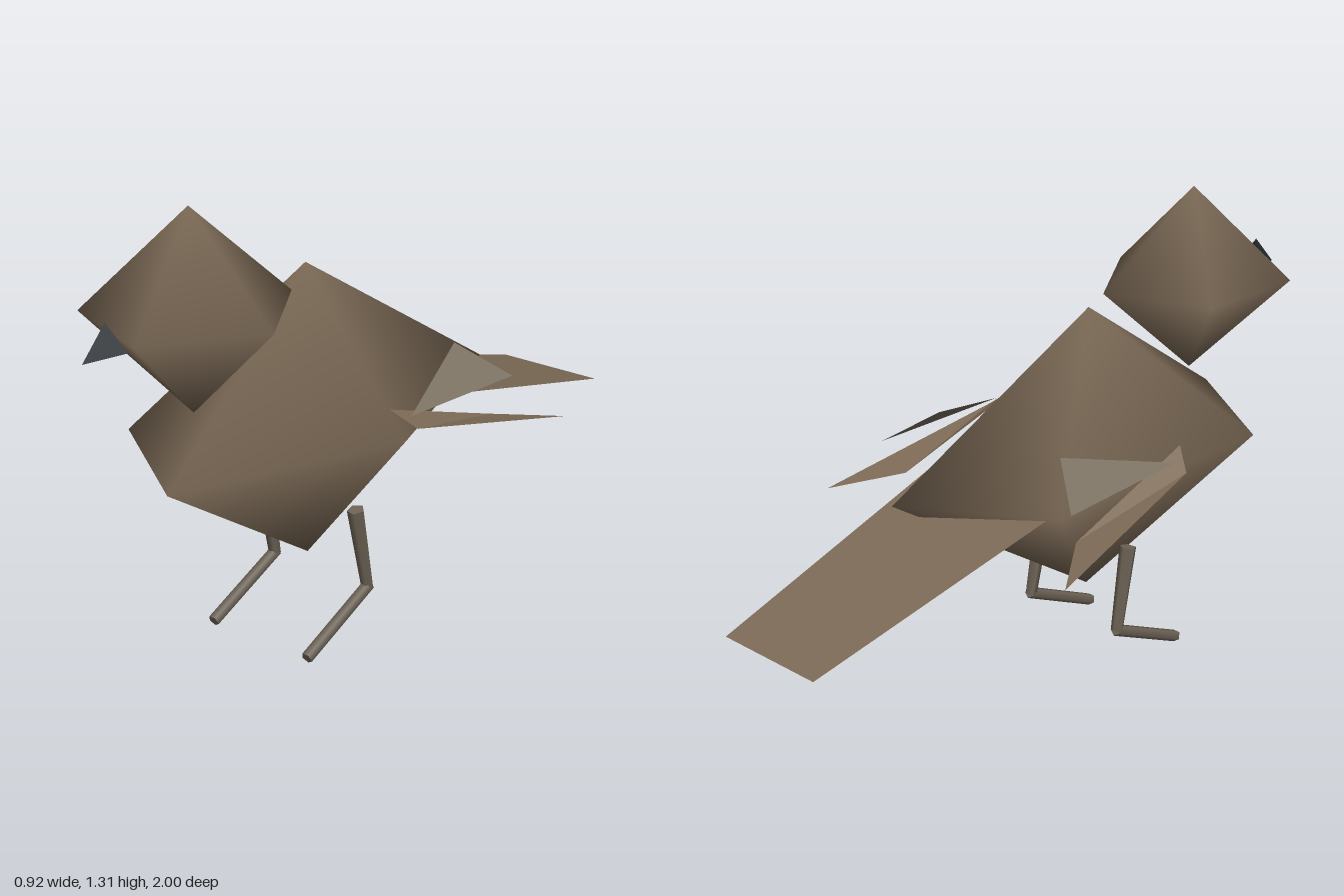
import * as THREE from 'three';

const material = (color, extra = {}) => new THREE.MeshStandardMaterial({ color, ...extra });
const brown = material(0x7d6b57);
const featherBrown = material(0x7d6b57, { side: THREE.DoubleSide, flatShading: true });
const featherGrey = material(0x7b7263, { side: THREE.DoubleSide, flatShading: true });
const legMat = material(0x6e6456);
const beakMat = material(0x22282e, { flatShading: true });

function addMesh(parent, name, geometry, mat) {
  const mesh = new THREE.Mesh(geometry, mat);
  mesh.name = name;
  parent.add(mesh);
  return mesh;
}

// Five-sided smooth double pyramid with one corner towards +x
function gem(rx, ry, rz) {
  return new THREE.SphereGeometry(1, 5, 2, Math.PI).scale(rx, ry, rz);
}

// Thin sheet from a fan of corners
function sheet(points) {
  const index = [];
  for (let i = 1; i < points.length - 1; i++) index.push(0, i, i + 1);
  const geo = new THREE.BufferGeometry();
  geo.setAttribute('position', new THREE.Float32BufferAttribute(points.flat(), 3));
  geo.setIndex(index);
  geo.computeVertexNormals();
  return geo;
}

// Tapered rod between two points
function rod(a, b, ra, rb) {
  const from = new THREE.Vector3(...a), to = new THREE.Vector3(...b);
  const dir = to.clone().sub(from);
  const geo = new THREE.CylinderGeometry(rb, ra, dir.length(), 5);
  geo.applyQuaternion(new THREE.Quaternion().setFromUnitVectors(
    new THREE.Vector3(0, 1, 0), dir.clone().normalize()));
  const mid = from.add(to).multiplyScalar(0.5);
  return geo.translate(mid.x, mid.y, mid.z);
}

export function createModel() {
  const bird = new THREE.Group();
  bird.name = 'bird';

  addMesh(bird, 'body', gem(0.345, 0.425, 0.689), brown).position.set(0, 0.635, 0.18);
  addMesh(bird, 'head', gem(0.277, 0.275, 0.302), brown).position.set(0, 1.04, 0.622);

  // Three-sided beak, pointing forward and slightly down
  const beak = new THREE.ConeGeometry(0.054, 0.105, 3, 1, false, Math.PI)
    .translate(0, 0.0525, 0)
    .rotateX(Math.PI / 2 + 0.34);
  addMesh(bird, 'beak', beak, beakMat).position.set(0, 1.04, 0.902);

  // Flat tail sloping down to the back
  addMesh(bird, 'tail', sheet([
    [-0.24, 0.64, -0.16], [0.24, 0.64, -0.16], [0.172, 0.42, -1], [-0.172, 0.42, -1],
  ]), featherBrown);

  for (const [side, s] of [['left', 1], ['right', -1]]) {
    // Wing: long feather blade plus a small upper flap
    const wing = new THREE.Group();
    wing.name = side + 'Wing';
    bird.add(wing);
    const mirror = (pts) => pts.map(([x, y, z]) => [s * x, y, z]);
    addMesh(wing, 'wingBlade', sheet(mirror([
      [0.33, 0.585, -0.22], [0.315, 0.727, 0.213], [0.376, 0.675, 0.17], [0.46, 0.555, -0.4],
    ])), featherBrown);
    addMesh(wing, 'wingFlap', sheet(mirror([
      [0.232, 0.785, -0.178], [0.346, 0.7, 0.16], [0.363, 0.69, -0.275],
    ])), featherGrey);

    // Leg: thigh down to the knee, then a foot reaching forward
    const leg = new THREE.Group();
    leg.name = side + 'Leg';
    bird.add(leg);
    addMesh(leg, 'upperLeg', rod([s * 0.168, 0.383, 0.172], [s * 0.172, 0.135, 0.125], 0.025, 0.018), legMat);
    addMesh(leg, 'lowerLeg', rod([s * 0.172, 0.138, 0.12], [s * 0.172, 0.017, 0.387], 0.018, 0.018), legMat);
  }
  return bird;
}
